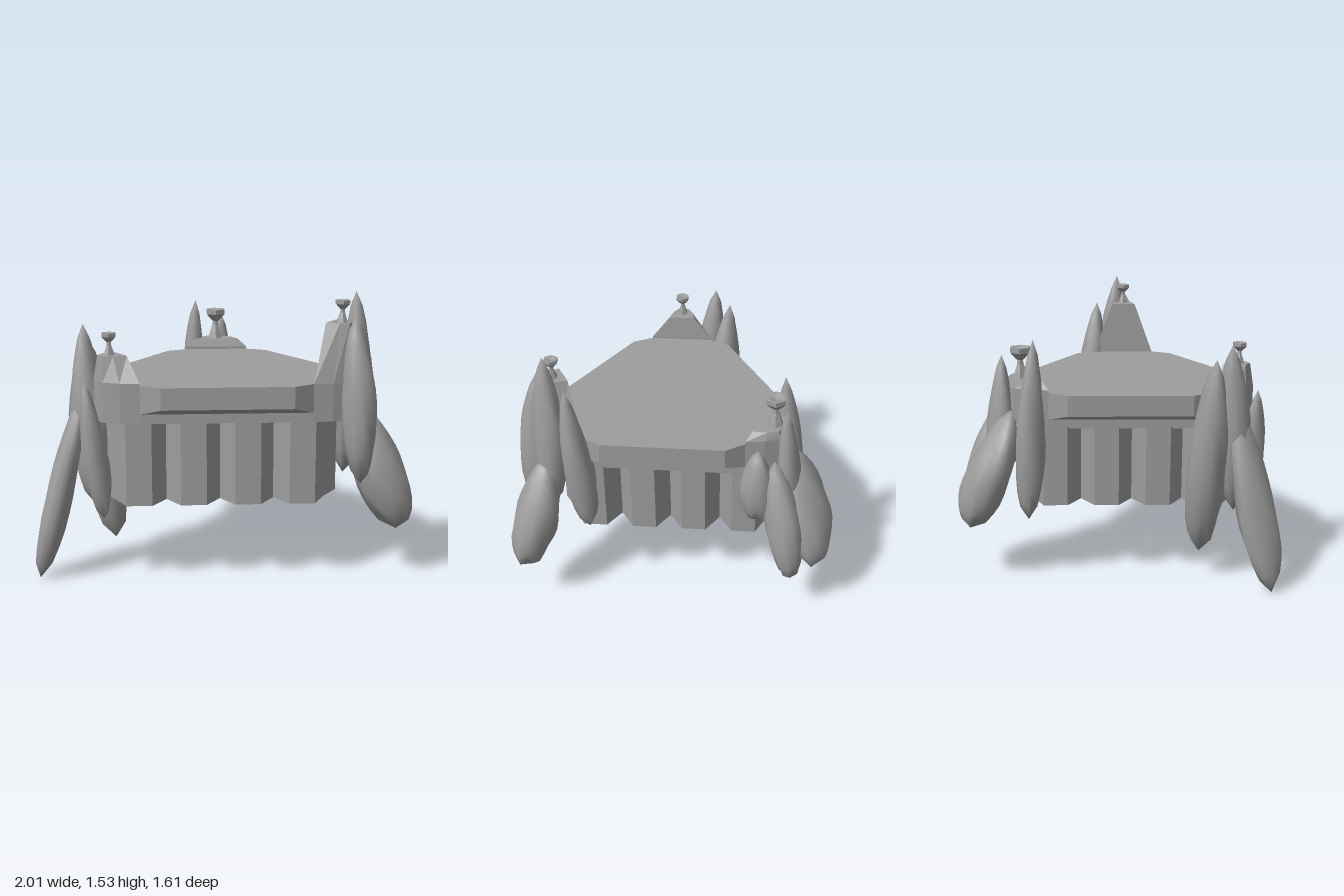
import * as THREE from 'three';
import { mergeVertices } from 'three/addons/utils/BufferGeometryUtils.js';

const COLOR = 0x9d9d9d;
const flat = new THREE.MeshStandardMaterial({ color: COLOR, flatShading: true });
const flatDouble = new THREE.MeshStandardMaterial({ color: COLOR, flatShading: true, side: THREE.DoubleSide });
const smooth = new THREE.MeshStandardMaterial({ color: COLOR });

const CENTRE_Z = 0.267; // centre of the three-sided plan
const SIDES = [0, 1, 2];

// Point on the plan: r outward and w sideways along direction a (0 = front, in turns of 60 degrees)
function at(a, r, w, y) {
  const s = Math.sin(a * Math.PI / 3), c = Math.cos(a * Math.PI / 3);
  return [s * r + c * w, y, CENTRE_Z + c * r - s * w];
}

// Skin over equal-length rings, listed from bottom to top
function loft(rings, capped = true) {
  const n = rings[0].length, index = [];
  for (let k = 0; k < rings.length - 1; k++) {
    for (let i = 0; i < n; i++) {
      const j = (i + 1) % n, a = k * n, b = a + n;
      index.push(a + i, a + j, b + j, a + i, b + j, b + i);
    }
  }
  const top = (rings.length - 1) * n;
  for (let i = 1; capped && i < n - 1; i++) {
    index.push(0, i + 1, i, top, top + i, top + i + 1);
  }
  const g = new THREE.BufferGeometry();
  g.setAttribute('position', new THREE.Float32BufferAttribute(rings.flat(2), 3));
  g.setIndex(index);
  const out = g.toNonIndexed();
  out.computeVertexNormals();
  return out;
}

function add(parent, name, geometry, material) {
  const m = new THREE.Mesh(geometry, material);
  m.name = name;
  parent.add(m);
  return m;
}

// Twelve-point slab ring: overhanging sides and cut corners
function slabRing(sideR, sideY, cornerY) {
  return SIDES.flatMap(k => [
    at(2 * k, sideR, -0.34, sideY), at(2 * k, sideR, 0.34, sideY),
    at(2 * k + 1, 0.617, -0.18, cornerY), at(2 * k + 1, 0.617, 0.18, cornerY),
  ]);
}

// Folded wall: flat ribs separated by V-shaped grooves, with cut corners
function wallRing(y) {
  return SIDES.flatMap(k => {
    const pts = [];
    for (let i = 0; i < 4; i++) {
      const u = (i - 1.5) * 0.283;
      pts.push(at(2 * k, 0.45, u - 0.067, y), at(2 * k, 0.45, u + 0.067, y));
      if (i < 3) pts.push(at(2 * k, 0.332, u + 0.1415, y));
    }
    pts.push(at(2 * k + 1, 0.64, 0, y));
    return pts;
  });
}

// Tapered corner pillar
function pillar(corner, shoulderY, topY, h) {
  const base = [[0.617, -0.18], [0.7, -0.12], [0.76, -0.05], [0.76, 0.05], [0.7, 0.12], [0.617, 0.18]];
  const top = [[0.63, -h], [0.7, -h * 0.75], [0.745, -h * 0.4], [0.745, h * 0.4], [0.7, h * 0.75], [0.63, h]];
  const ring = (pts, y) => pts.map(([r, w]) => at(corner, r, w, y));
  return loft([ring(base, 0.87), ring(base, shoulderY), ring(top, topY)]);
}

// Elongated rock from a bottom point to a top point, with an uneven surface
function rock(bottom, top, rx, rz, seed) {
  const g = new THREE.SphereGeometry(1, 12, 12);
  g.deleteAttribute('uv');
  g.deleteAttribute('normal');
  const p = g.attributes.position;
  const b = new THREE.Vector3(...bottom), t = new THREE.Vector3(...top), v = new THREE.Vector3();
  for (let i = 0; i < p.count; i++) {
    const x = p.getX(i), z = p.getZ(i), s = Math.hypot(x, z);
    const f = 0.5 + Math.asin(THREE.MathUtils.clamp(p.getY(i), -1, 1)) / Math.PI;
    v.lerpVectors(b, t, f);
    if (s > 1e-4) {
      const a = Math.atan2(z, x);
      const wide = Math.pow(Math.sin(Math.PI * Math.pow(f, 0.8)), 0.64);
      const bump = 0.95 + 0.06 * Math.sin(2 * a + seed * 1.7 + f * 5) + 0.05 * Math.sin(5 * a + seed * 2.3 - f * 11);
      v.x += x / s * rx * wide * bump;
      v.z += z / s * rz * wide * bump;
      // ragged bottom edge
      v.y += Math.max(-0.01, 0.04 * Math.sin(4 * a + seed) * Math.max(0, 1 - f * 3));
    }
    p.setXYZ(i, v.x, v.y, v.z);
  }
  const out = mergeVertices(g, 1e-4);
  out.computeVertexNormals();
  return out;
}

export function createModel() {
  const model = new THREE.Group();
  model.name = 'rockyPlatform';

  // Slab with sloping overhang and the band beneath it
  add(model, 'platformSlab', loft([
    slabRing(0.464, 0.87, 0.87), slabRing(0.464, 0.92, 0.92),
    slabRing(0.533, 0.955, 0.92), slabRing(0.533, 1.07, 1.07),
  ]), flat);

  // Hollow ribbed skirt, set slightly off centre
  const wall = add(model, 'ribbedWall', loft([wallRing(0.43), wallRing(0.88)], false), flatDouble);
  wall.position.x = -0.03;

  // Pillars with goblets: corner direction, shoulder, top, half width, goblet scale
  const goblet = new THREE.LatheGeometry([
    [0, 0], [0.045, 0], [0.036, 0.03], [0.02, 0.075], [0.017, 0.1], [0.03, 0.11],
    [0.06, 0.142], [0.06, 0.17], [0.045, 0.17], [0, 0.155],
  ].map(q => new THREE.Vector2(...q)), 6);
  [
    ['right', 5, 1.08, 1.21, 0.075, 0.67],
    ['left', 1, 1.07, 1.37, 0.07, 0.67],
    ['back', 3, 1.085, 1.13, 0.13, 1],
  ].forEach(([side, corner, shoulder, top, half, scale]) => {
    add(model, side + 'Pillar', pillar(corner, shoulder, top, half), flat);
    const cup = add(model, side + 'Goblet', goblet, flat);
    cup.position.set(...at(corner, 0.693, 0, top));
    cup.scale.setScalar(scale);
  });

  // Rocks around each corner: bottom point, top point, radius in x, radius in z
  const rocks = {
    left: [
      [[0.71, 0.62, 0.57], [0.67, 1.53, 0.61], 0.085, 0.095],
      [[0.7, 0.53, 0.7], [0.66, 1.41, 0.67], 0.1, 0.11],
      [[0.66, 0.5, 0.37], [0.68, 1.37, 0.47], 0.085, 0.085],
      [[0.91, 0.26, 0.64], [0.72, 0.94, 0.59], 0.145, 0.135],
    ],
    right: [
      [[-0.99, 0, 0.59], [-0.73, 1.05, 0.5], 0.08, 0.12],
      [[-0.59, 0.15, 0.38], [-0.74, 1.28, 0.36], 0.125, 0.115],
      [[-0.7, 0.4, 0.53], [-0.74, 1.35, 0.46], 0.1, 0.1],
      [[-0.64, 0.35, 0.66], [-0.73, 1.08, 0.65], 0.07, 0.075],
    ],
    back: [
      [[-0.16, 0.36, -0.47], [-0.12, 1.36, -0.41], 0.075, 0.085],
      [[0.17, 0.58, -0.42], [0.16, 1.04, -0.42], 0.085, 0.105],
      [[0.02, 0.42, -0.57], [0.04, 1.26, -0.52], 0.09, 0.07],
      [[0.17, 0.26, -0.66], [0.12, 0.98, -0.5], 0.1, 0.11],
      [[0.03, 0.3, -0.74], [-0.06, 0.97, -0.52], 0.175, 0.125],
    ],
  };
  let seed = 1;
  for (const [side, list] of Object.entries(rocks)) {
    const cluster = new THREE.Group();
    cluster.name = side + 'Rocks';
    for (const r of list) add(cluster, 'rock', rock(...r, seed++), smooth);
    model.add(cluster);
  }
  return model;
}
